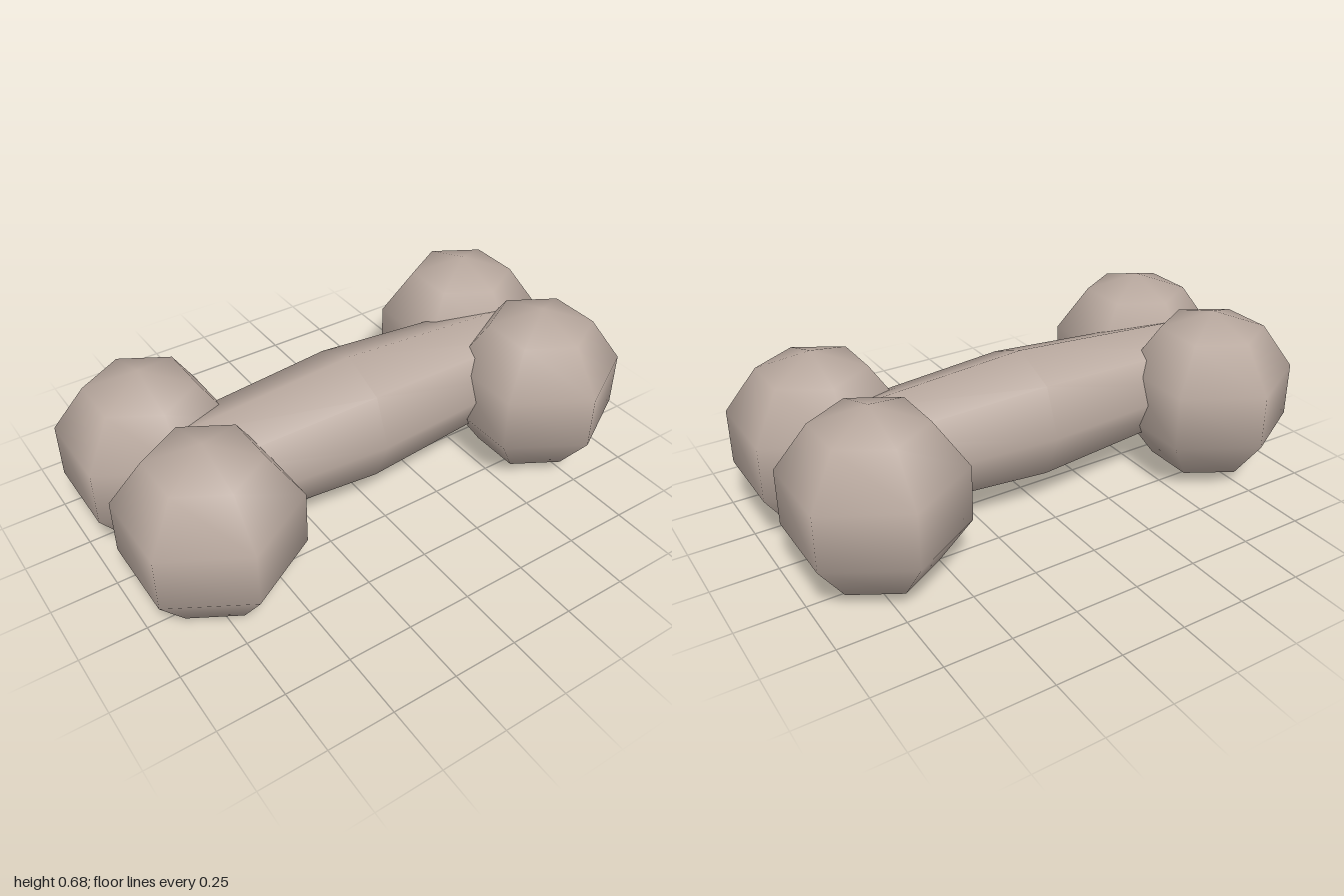
import * as THREE from 'three';

const RADIUS = 0.34;
const CENTER_Y = 0.34;

export function createModel() {
  const model = new THREE.Group();
  model.name = 'bone';

  const boneMaterial = new THREE.MeshStandardMaterial({ color: 0xb8a89e });
  boneMaterial.name = 'bone beige';

  // Eight-sided shaft, swollen at its middle ring and laid along x
  const shaftGeometry = new THREE.CylinderGeometry(0.205, 0.205, 1.44, 8, 2);
  const position = shaftGeometry.attributes.position;
  for (let i = 0; i < position.count; i++) {
    if (Math.abs(position.getY(i)) < 0.01) {
      const bulge = 0.256 / 0.205;
      position.setX(i, position.getX(i) * bulge);
      position.setZ(i, position.getZ(i) * bulge);
    }
  }
  shaftGeometry.rotateZ(Math.PI / 2);
  const shaft = new THREE.Mesh(shaftGeometry, boneMaterial);
  shaft.name = 'shaft';
  shaft.position.y = CENTER_Y + 0.002;
  model.add(shaft);

  // Four knobs, each a coarse sphere with a corner pointing along z
  const knobGeometry = new THREE.SphereGeometry(RADIUS, 6, 5);
  knobGeometry.rotateY(Math.PI / 6);
  for (const sx of [-1, 1]) {
    for (const sz of [-1, 1]) {
      const knob = new THREE.Mesh(knobGeometry, boneMaterial);
      knob.name = `${sx > 0 ? 'left' : 'right'}${sz > 0 ? 'Front' : 'Back'}Knob`;
      knob.position.set(sx * 0.72, CENTER_Y, sz * 0.24);
      model.add(knob);
    }
  }

  return model;
}
